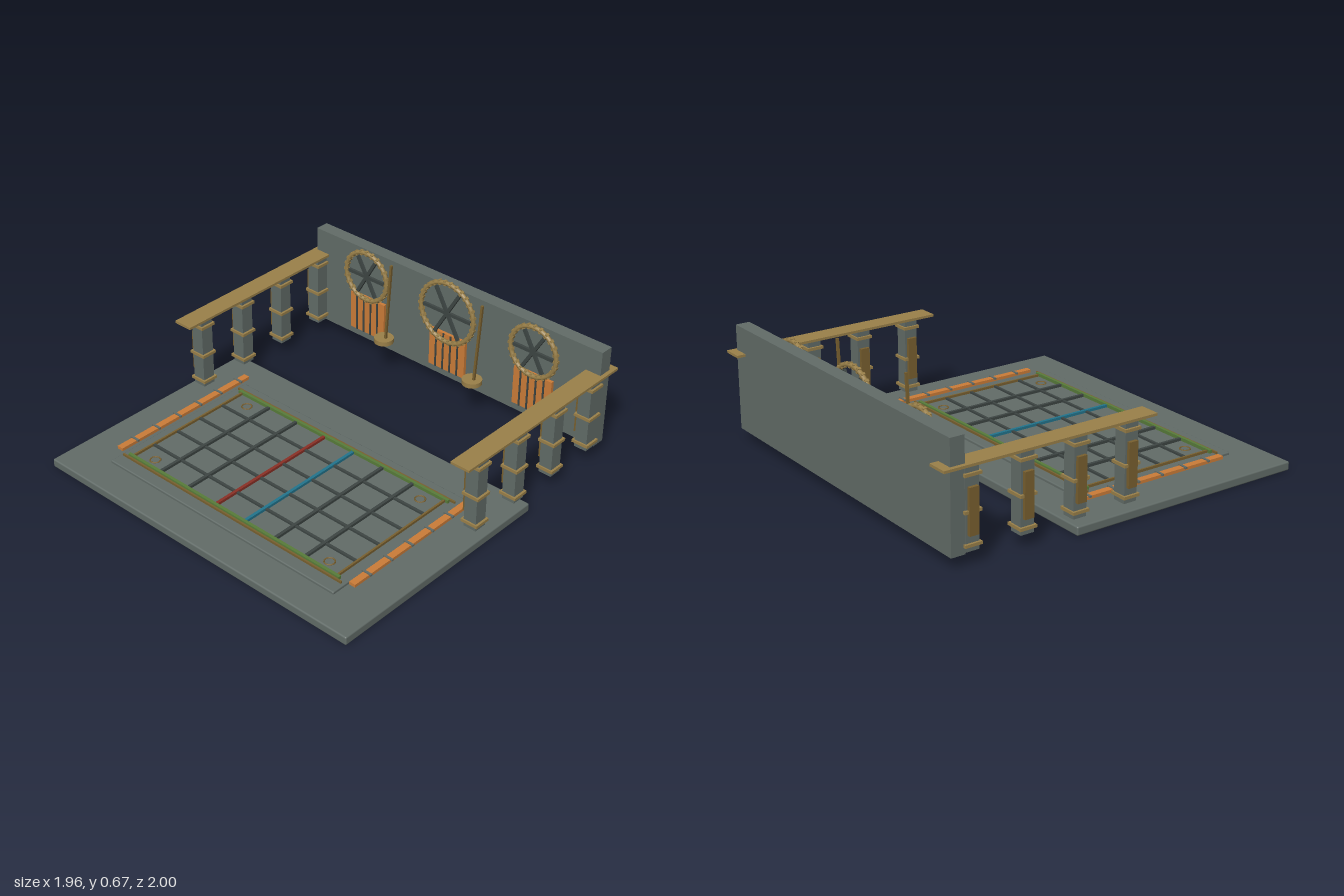
import * as THREE from 'three';
import { RoundedBoxGeometry } from 'three/addons/geometries/RoundedBoxGeometry.js';

const mat = (name, color) => {
  const m = new THREE.MeshStandardMaterial({ color });
  m.name = name;
  return m;
};

export function createModel() {
  const root = new THREE.Group();
  root.name = 'machineHall';
  const stone = mat('stone grey', 0x626c68);
  const iron = mat('dark iron', 0x3d4543);
  const brass = mat('aged brass', 0x9a8049);
  const darkBrass = mat('dark brass', 0x79602f);
  const copper = mat('copper orange', 0xcb7c38);
  const green = mat('green trim', 0x587c3a);
  const red = mat('red line', 0x8a3026);
  const blue = mat('blue line', 0x22748c);

  const add = (parent, name, geo, material, x = 0, y = 0, z = 0) => {
    const mesh = new THREE.Mesh(geo, material);
    mesh.name = name;
    mesh.position.set(x, y, z);
    parent.add(mesh);
    return mesh;
  };
  const box = (parent, name, material, w, h, d, x, y, z) =>
    add(parent, name, new THREE.BoxGeometry(w, h, d), material, x, y, z);
  const group = (name, x = 0, y = 0, z = 0) => {
    const g = new THREE.Group();
    g.name = name;
    g.position.set(x, y, z);
    root.add(g);
    return g;
  };

  // Floor slabs and back wall
  add(root, 'baseSlab', new RoundedBoxGeometry(1.96, 0.046, 1.305, 2, 0.008), stone, 0, 0.023, 0.3475);
  add(root, 'raisedSlab', new RoundedBoxGeometry(1.49, 0.03, 0.935, 2, 0.006), stone, 0, 0.045, 0.3575);
  box(root, 'backWall', stone, 1.88, 0.55, 0.075, 0, 0.335, -0.918);

  // Floor grid: long seams across the depth, two of them coloured
  const grid = group('floorGrid');
  for (let i = 1; i < 7; i++) {
    const x = -0.68 + i * 0.194;
    const m = i === 3 ? red : i === 4 ? blue : iron;
    box(grid, 'lengthBar', m, 0.016, 0.016, 0.76, x, 0.066, 0.352);
  }
  for (const z of [0.12, 0.278, 0.435, 0.595])
    box(grid, 'crossBar', iron, 1.37, 0.012, 0.014, 0, 0.064, z);

  // Border trims
  for (const s of [-1, 1]) {
    const z = 0.353 + s * 0.384;
    box(grid, 'greenTrim', green, 1.41, 0.018, 0.016, 0, 0.068, z);
    box(grid, 'outerTrim', darkBrass, 1.46, 0.012, 0.009, 0, 0.066, z + s * 0.017);
    box(grid, 'sideTrim', darkBrass, 0.01, 0.014, 0.76, s * 0.683, 0.066, 0.352);
    for (const rz of [0.037, 0.675]) {
      const ring = add(grid, 'floorRing', new THREE.TorusGeometry(0.026, 0.004, 6, 16), darkBrass, s * 0.585, 0.06, rz);
      ring.rotation.x = Math.PI / 2;
    }
  }

  // Copper conduits with clamps beside the floor
  for (const s of [-1, 1]) {
    const conduit = group('conduit', s * 0.777, 0, 0);
    box(conduit, 'conduitStrip', copper, 0.036, 0.016, 0.89, 0, 0.068, 0.29);
    for (let i = 0; i < 6; i++)
      box(conduit, 'conduitClamp', stone, 0.055, 0.01, 0.012, 0, 0.076, -0.09 + i * 0.145);
  }

  // Side colonnades with bands and a top beam
  for (const s of [-1, 1]) {
    const row = group('colonnade', s * 0.907, 0, 0);
    box(row, 'topBeam', brass, 0.108, 0.013, 1.16, 0, 0.472, -0.42);
    for (let i = 0; i < 4; i++) {
      const z = 0.027 - i * 0.291;
      box(row, 'column', stone, 0.072, 0.4, 0.072, 0, 0.268, z);
      box(row, 'columnPlate', darkBrass, 0.018, 0.225, 0.05, -0.044, 0.258, z);
      for (const y of [0.1, 0.256, 0.426])
        box(row, 'columnBand', brass, 0.096, 0.015, 0.09, 0, y, z);
    }
  }

  // Wall wheels above copper slat panels
  for (const [x, r] of [[-0.555, 0.141], [0, 0.173], [0.555, 0.141]]) {
    const panel = group('slatPanel', x, 0.22, -0.87);
    box(panel, 'copperPanel', copper, 0.237, 0.22, 0.018, 0, 0, 0);
    for (let i = 0; i < 4; i++)
      box(panel, 'panelSeam', iron, 0.009, 0.22, 0.006, -0.072 + i * 0.048, 0, 0.011);

    const wheel = group('wallWheel', x, 0.466, -0.852);
    add(wheel, 'wheelRim', new THREE.TorusGeometry(r, 0.0125, 8, 40), brass);
    const teeth = r > 0.15 ? 30 : 24;
    for (let i = 0; i < teeth; i++) {
      const a = (i / teeth) * Math.PI * 2;
      const t = box(wheel, 'rimBlock', brass, 0.027, 0.014, 0.02, r * Math.cos(a), r * Math.sin(a), 0);
      t.rotation.z = a;
    }
    for (let i = 0; i < 3; i++) {
      const spoke = box(wheel, 'wheelSpoke', iron, 2 * r - 0.035, 0.018, 0.014, 0, 0, 0);
      spoke.rotation.z = (i * Math.PI) / 3;
    }
  }

  // Levers on round pedestals
  for (const x of [-0.34, 0.258]) {
    const lever = group('lever', x, 0, -0.753);
    add(lever, 'leverBase', new THREE.CylinderGeometry(0.053, 0.053, 0.026, 24), brass, 0, 0.21, 0);
    const rod = box(lever, 'leverRod', darkBrass, 0.012, 0.46, 0.013, 0.026, 0.442, 0);
    rod.rotation.z = -0.065;
  }

  return root;
}
